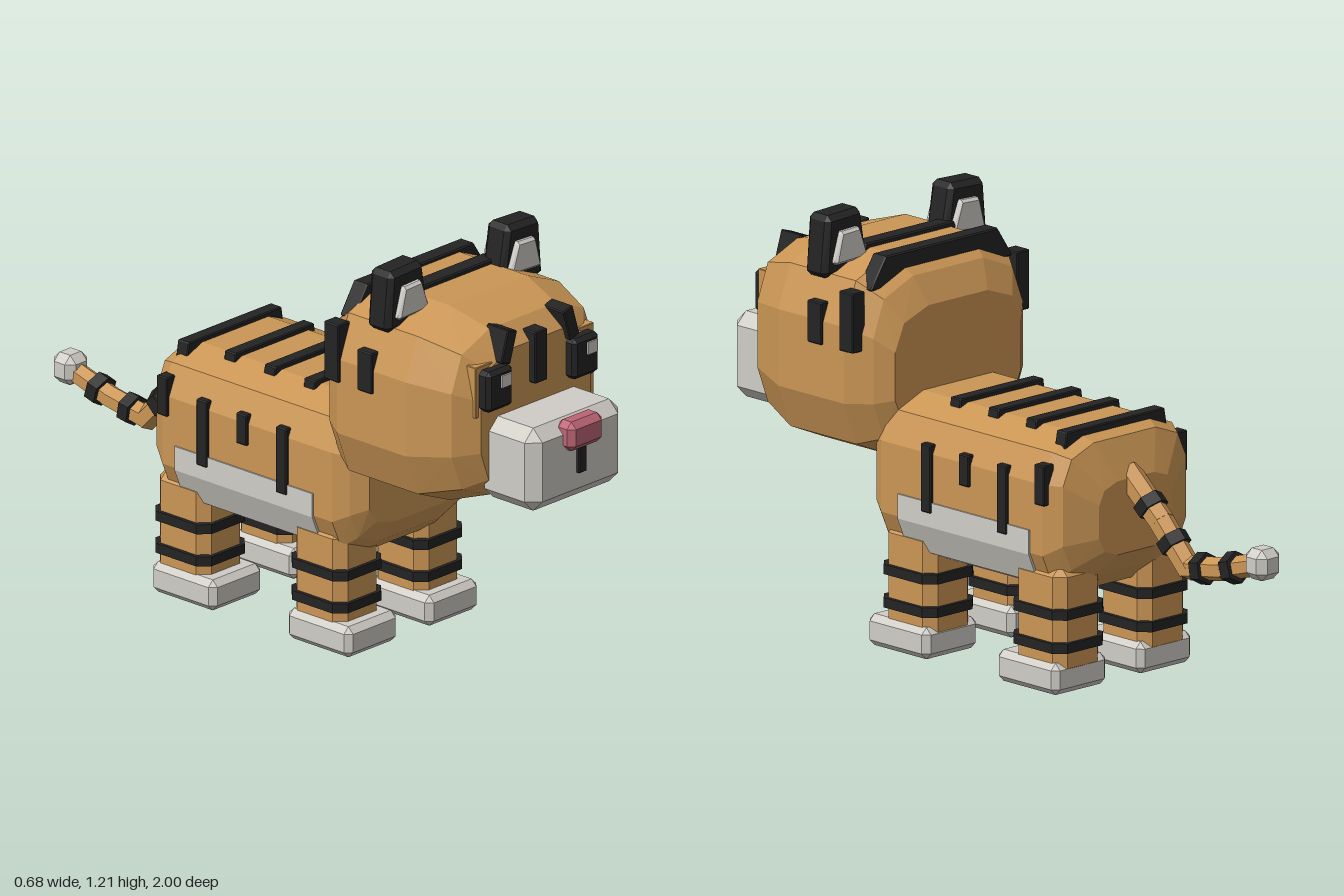
import * as THREE from 'three';
import { ConvexGeometry } from 'three/addons/geometries/ConvexGeometry.js';

const V = (x, y, z) => new THREE.Vector3(x, y, z);
const SIDES = [-1, 1];

// Bevelled block with half sizes, bevel c (cy = vertical bevel) and narrowing of the top
function block(hx, hy, hz, c, { taper = 1, cy = c } = {}) {
  const pts = [];
  for (const a of SIDES) for (const b of SIDES) for (const d of SIDES) {
    const t = b > 0 ? taper : 1;
    pts.push(V(a * hx * t, b * (hy - cy), d * (hz - c)));
    pts.push(V(a * (hx - c) * t, b * (hy - cy), d * hz));
    pts.push(V(a * (hx - c) * t, b * hy, d * (hz - c)));
  }
  return new ConvexGeometry(pts);
}

// Faceted volume from sections [z, halfWidth, yBottom, yTop] sharing one corner profile
function sections(rows, profile) {
  const pts = [];
  for (const [z, w, y0, y1] of rows)
    for (const [px, py] of profile)
      for (const a of SIDES) for (const b of SIDES)
        pts.push(V(a * px * w, (y0 + y1) / 2 + b * py * (y1 - y0) / 2, z));
  return new ConvexGeometry(pts);
}

export function createModel() {
  const model = new THREE.Group();
  model.name = 'stripedCat';
  const material = (name, color) => {
    const m = new THREE.MeshStandardMaterial({ color });
    m.name = name;
    return m;
  };
  const orange = material('orange fur', 0xcb9655);
  const black = material('black stripe', 0x232323);
  const white = material('pale fur', 0xd0cdc7);
  const pink = material('pink nose', 0xbd6475);

  const add = (name, geometry, mat, x = 0, y = 0, z = 0) => {
    const mesh = new THREE.Mesh(geometry, mat);
    mesh.name = name;
    mesh.position.set(x, y, z);
    model.add(mesh);
    return mesh;
  };

  // Body and pale belly
  add('body', sections([
    [-0.455, 0.14, 0.38, 0.59], [-0.41, 0.235, 0.32, 0.7], [-0.36, 0.265, 0.27, 0.722],
    [0.28, 0.265, 0.27, 0.722], [0.325, 0.24, 0.31, 0.7], [0.36, 0.2, 0.37, 0.6],
  ], [[1, 0.45], [0.86, 0.83], [0.5, 1]]), orange);
  const belly = [];
  for (const [x, y] of [[0.27, 0.46], [0.27, 0.39], [0.234, 0.303], [0.138, 0.262]])
    for (const a of SIDES) for (const z of [-0.31, 0.21]) belly.push(V(a * x, y, z));
  add('belly', new ConvexGeometry(belly), white);

  // Back stripes and flank stripes: z, back half width, flank bottom and top
  for (const [z, w, y0, y1] of [
    [0.095, 0.165, 0.43, 0.625], [-0.055, 0.165, 0.535, 0.625],
    [-0.205, 0.165, 0.43, 0.625], [-0.355, 0.195, 0.54, 0.655],
  ]) {
    add('backStripe', block(w, 0.025, 0.021, 0.003, { taper: 0.96 }), black, 0, 0.71, z);
    for (const s of SIDES)
      add('flankStripe', block(0.02, (y1 - y0) / 2, 0.02, 0.003), black, s * 0.254, (y0 + y1) / 2, z);
  }

  // Legs with bands and paws
  for (const s of SIDES) for (const [z, footZ] of [[0.2, 0.222], [-0.315, -0.29]]) {
    const x = s * 0.162;
    add('leg', block(0.087, 0.16, 0.097, 0.03), orange, x, 0.205, z);
    for (const y of [0.135, 0.23])
      add('legBand', block(0.097, 0.016, 0.106, 0.03, { cy: 0.002 }), black, x, y, z);
    add('paw', block(0.103, 0.045, 0.121, 0.018), white, x, 0.047, footZ);
    add('solePatch', new THREE.BoxGeometry(0.07, 0.004, 0.08), orange, x, 0.002, z);
  }

  // Head
  add('head', sections([
    [0.25, 0.24, 0.6, 0.96], [0.29, 0.285, 0.55, 1.04], [0.36, 0.33, 0.52, 1.095],
    [0.62, 0.33, 0.52, 1.095], [0.75, 0.285, 0.565, 1.055], [0.8, 0.22, 0.6, 1.0],
  ], [[1, 0.38], [0.86, 0.81], [0.47, 1]]), orange);

  // Crown stripes and cheek stripes
  add('crownStripe', block(0.27, 0.045, 0.026, 0.004, { taper: 0.8 }), black, 0, 1.06, 0.34);
  add('crownStripe', block(0.2, 0.035, 0.026, 0.004, { taper: 0.85 }), black, 0, 1.073, 0.465);
  for (const s of SIDES) {
    add('cheekStripe', block(0.022, 0.06, 0.028, 0.003), black, s * 0.316, 0.91, 0.47);
    add('cheekStripe', block(0.024, 0.085, 0.028, 0.003), black, s * 0.314, 0.935, 0.345);
  }

  // Ears, with inner ear showing on both faces
  for (const s of SIDES) {
    const tilt = s * -0.04;
    add('ear', block(0.087, 0.088, 0.043, 0.016, { taper: 0.76 }), black, s * 0.231, 1.12, 0.495).rotation.z = tilt;
    add('innerEar', block(0.062, 0.046, 0.06, 0.008, { taper: 0.58 }), white, s * 0.226, 1.115, 0.495).rotation.z = tilt;
  }

  // Eyes, brows and forehead stripe
  for (const s of SIDES) {
    add('eyeSocket', block(0.065, 0.075, 0.04, 0.002), orange, s * 0.173, 0.905, 0.756);
    add('eye', block(0.052, 0.06, 0.03, 0.012), black, s * 0.172, 0.908, 0.803);
    add('eyeGlint', new THREE.BoxGeometry(0.038, 0.036, 0.008), white, s * 0.172 + 0.017, 0.932, 0.834);
    add('browStripe', block(0.02, 0.048, 0.04, 0.003), black, s * 0.125, 1.016, 0.778).rotation.z = s * 0.3;
  }
  add('foreheadStripe', block(0.025, 0.076, 0.025, 0.003), black, 0, 0.955, 0.797);

  // Muzzle, nose and mouth
  add('muzzle', block(0.187, 0.122, 0.11, 0.035), white, 0, 0.694, 0.858);
  add('nose', block(0.069, 0.043, 0.034, 0.018), pink, 0, 0.775, 0.966);
  add('mouth', block(0.016, 0.045, 0.012, 0.002), black, 0, 0.7, 0.967);

  // Tail: tapered links along a bent path, with rings and a pale tip
  const path = [[0.6, -0.42], [0.49, -0.55], [0.372, -0.665], [0.395, -0.8], [0.442, -0.96]].map(([y, z]) => V(0, y, z));
  const up = V(0, 1, 0);
  const link = (name, mat, a, b, r0, r1) => {
    const g = new THREE.CylinderGeometry(r1, r0, a.distanceTo(b), 6).toNonIndexed();
    g.computeVertexNormals();
    const mid = a.clone().lerp(b, 0.5);
    add(name, g, mat, mid.x, mid.y, mid.z).quaternion.setFromUnitVectors(up, b.clone().sub(a).normalize());
  };
  const ringAt = [0.72, 0.48, 0.44, 0.28];
  for (let i = 0; i < 4; i++) {
    const a = path[i], b = path[i + 1];
    const dir = b.clone().sub(a).normalize();
    link('tailLink', orange, a, b.clone().addScaledVector(dir, 0.012), 0.039 - i * 0.002, 0.037 - i * 0.002);
    const c = a.clone().lerp(b, ringAt[i]);
    link('tailRing', black, c.clone().addScaledVector(dir, -0.018), c.clone().addScaledVector(dir, 0.018), 0.046, 0.046);
  }
  add('tailTip', block(0.044, 0.044, 0.042, 0.022), white, 0, 0.444, -0.957);

  return model;
}
